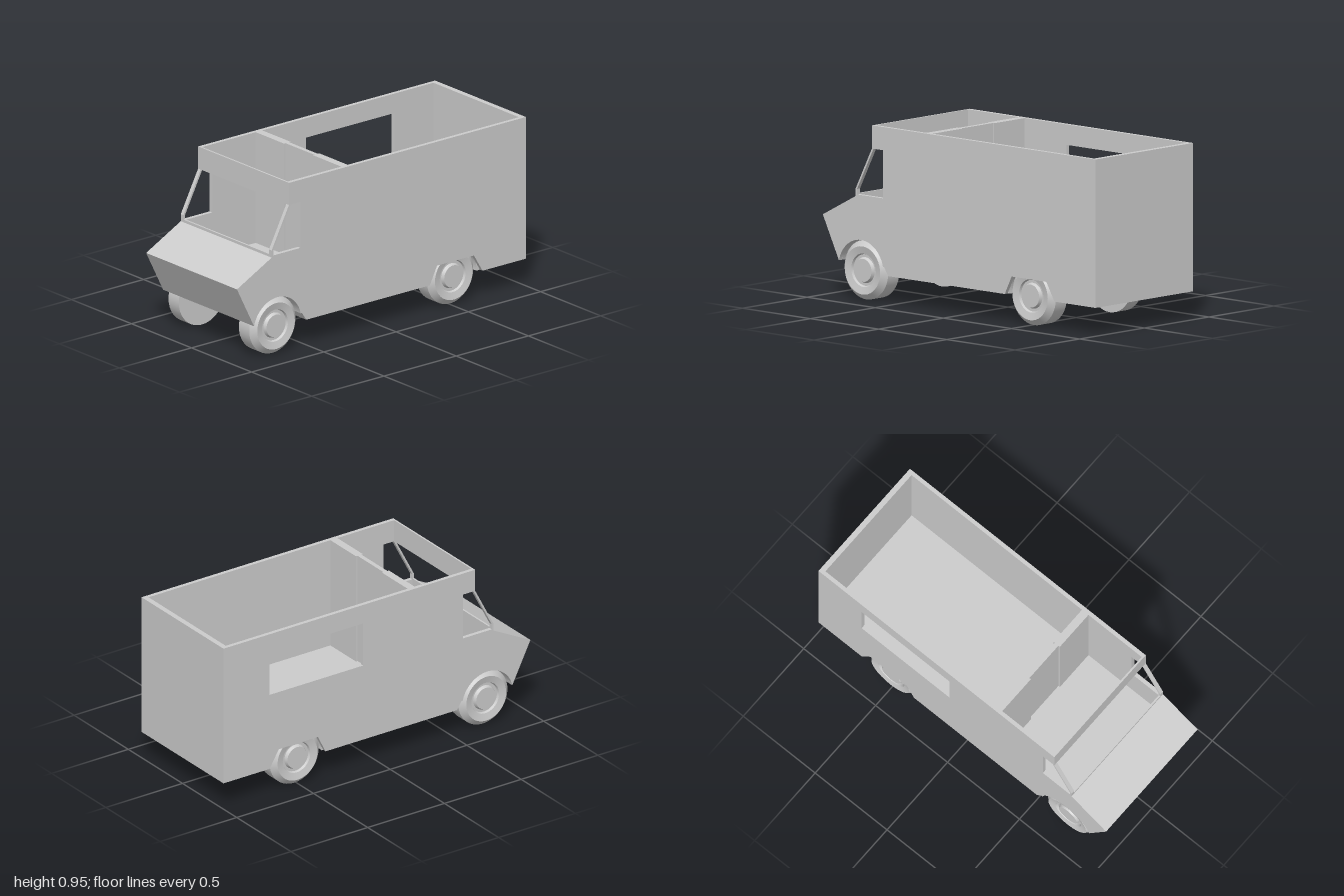
import * as THREE from 'three';

const R = 0.16, WHEEL_Y = 0.162, WELL = 0.166, FRONT_X = -0.72, REAR_X = 0.51;
const HALF = 0.378, INNER = 0.356, TOP = 0.955, BOTTOM = 0.155, FLOOR = 0.33;

export function createModel() {
  const model = new THREE.Group();
  const mat = new THREE.MeshStandardMaterial({ color: 0xcccccc, flatShading: true });
  const smooth = new THREE.MeshStandardMaterial({ color: 0xcccccc, side: THREE.DoubleSide });

  const add = (name, geometry, material = mat) => {
    const mesh = new THREE.Mesh(geometry, material);
    mesh.name = name;
    model.add(mesh);
    return mesh;
  };
  // Box from its limits on each axis
  const box = (name, x0, x1, y0, y1, z0, z1) =>
    add(name, new THREE.BoxGeometry(x1 - x0, y1 - y0, z1 - z0))
      .position.set((x0 + x1) / 2, (y0 + y1) / 2, (z0 + z1) / 2);
  // Side profile extruded between two z positions
  const slab = (name, shape, z0, z1) =>
    add(name, new THREE.ExtrudeGeometry(shape, { depth: z1 - z0, bevelEnabled: false, curveSegments: 24 }))
      .position.z = z0;
  const path = (pts) => new THREE.Path(pts.map(([x, y]) => new THREE.Vector2(x, y)));

  // Lower outline, drawn from the nose to the tail; the well arcs run over the wheels
  const underside = (shape, rearArch) => {
    const a = Math.asin((0.2 - WHEEL_Y) / WELL);
    shape.moveTo(-1, 0.2);
    shape.absarc(FRONT_X, WHEEL_Y, WELL, Math.PI - a, a, true);
    shape.lineTo(-0.55, 0.2);
    shape.lineTo(-0.52, BOTTOM);
    rearArch(shape);
    shape.lineTo(1, BOTTOM);
  };

  // Floor and nose, with round wheel wells across the full width
  const core = new THREE.Shape();
  underside(core, (s) => {
    s.lineTo(REAR_X - WELL, BOTTOM);
    s.absarc(REAR_X, WHEEL_Y, WELL, Math.PI, 0, true);
    s.lineTo(REAR_X + WELL, BOTTOM);
  });
  [[1, FLOOR], [-0.75, FLOOR], [-0.75, 0.575], [-0.76, 0.575], [-0.76, 0.56], [-1, 0.435]]
    .forEach(([x, y]) => core.lineTo(x, y));
  core.closePath();
  slab('floorAndNose', core, -INNER, INNER);

  // Side walls with cab windows; the serving window is only on the -z side
  for (const side of [1, -1]) {
    const wall = new THREE.Shape();
    underside(wall, (s) => [[0.335, BOTTOM], [0.385, 0.255], [0.64, 0.255], [0.7, BOTTOM]]
      .forEach(([x, y]) => s.lineTo(x, y)));
    [[1, TOP], [-0.64, TOP], [-0.64, 0.83], [-0.76, 0.6], [-0.76, 0.56], [-1, 0.435]]
      .forEach(([x, y]) => wall.lineTo(x, y));
    wall.closePath();
    wall.holes.push(path([[-0.748, 0.57], [-0.748, 0.6], [-0.628, 0.83], [-0.56, 0.83], [-0.56, 0.57]]));
    if (side < 0) wall.holes.push(path([[0.09, 0.595], [0.09, 0.845], [0.7, 0.845], [0.7, 0.595]]));
    slab(side > 0 ? 'leftWall' : 'rightWall', wall, side > 0 ? INNER : -HALF, side > 0 ? HALF : -INNER);
  }

  // Rear wall, windscreen header and the partition behind the cab
  box('rearWall', 0.97, 1, FLOOR, TOP, -INNER, INNER);
  box('windscreenHeader', -0.64, -0.63, 0.83, TOP, -INNER, INNER);
  box('partitionLeft', -0.26, -0.215, FLOOR, TOP, 0.12, INNER);
  box('partitionRight', -0.26, -0.215, FLOOR, TOP, -INNER, -0.12);
  box('partitionDoor', -0.25, -0.225, FLOOR, TOP, -0.12, 0.12);

  // Wheels: one bevelled tyre, rim and hub profile, each band sharp-edged
  const profile = [[0, 0.25], [R, 0.25], [R, 0.336], [0.13, 0.367], [0.09, 0.358],
    [0.085, 0.345], [0.07, 0.345], [0.062, 0.362], [0, 0.362]];
  for (const [end, x] of [['front', FRONT_X], ['rear', REAR_X]]) {
    for (const side of [1, -1]) {
      const wheel = new THREE.Group();
      wheel.name = end + (side > 0 ? 'LeftWheel' : 'RightWheel');
      for (let i = 1; i < profile.length; i++) {
        const band = [profile[i - 1], profile[i]].map(([r, z]) => new THREE.Vector2(r, z));
        const mesh = new THREE.Mesh(new THREE.LatheGeometry(band, 40), smooth);
        mesh.name = i < 4 ? 'tyre' : i < 7 ? 'rim' : 'hub';
        wheel.add(mesh);
      }
      wheel.rotation.x = side * Math.PI / 2;
      wheel.position.set(x, WHEEL_Y, 0);
      model.add(wheel);
    }
  }
  return model;
}
